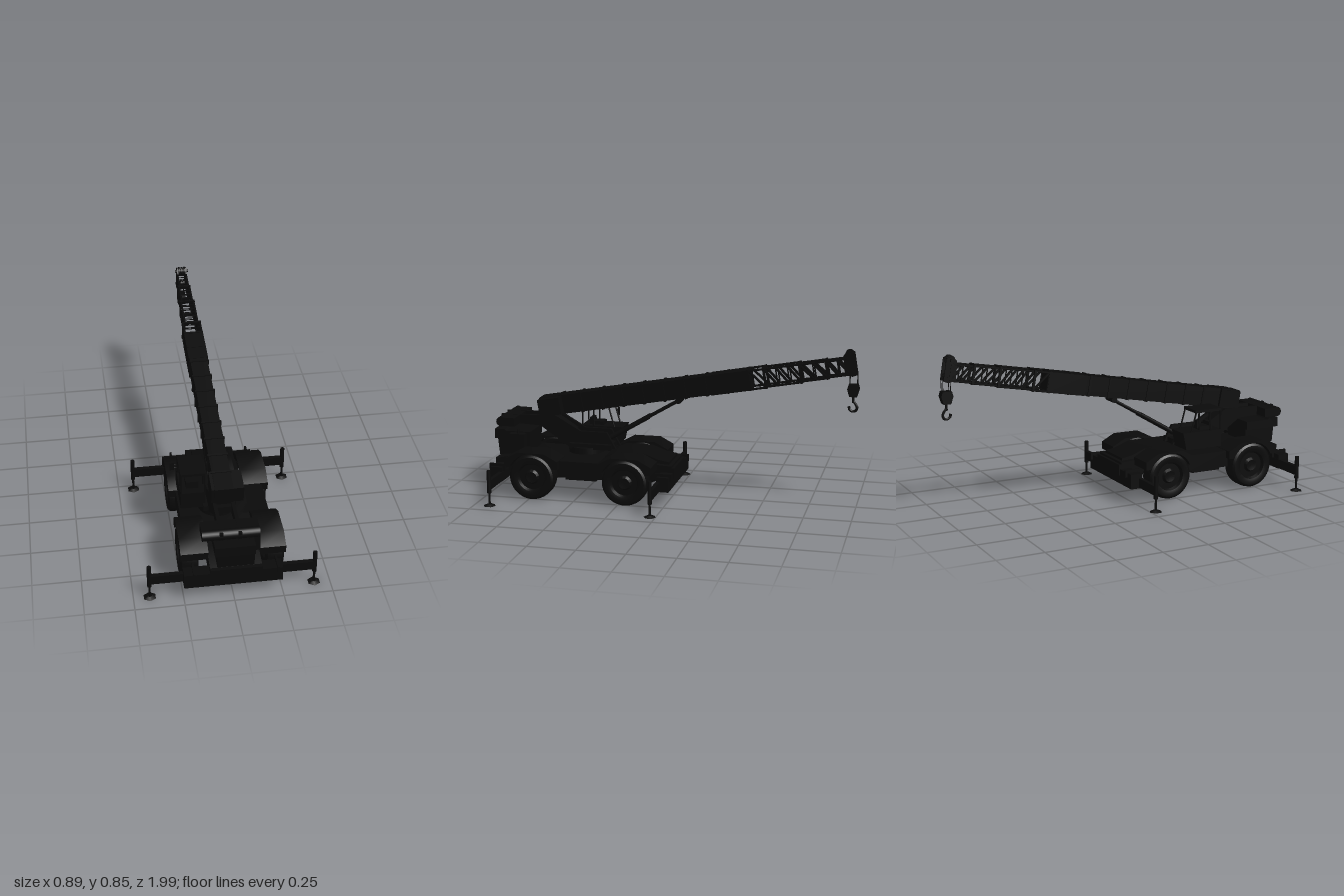
import * as THREE from 'three';
import { toCreasedNormals } from 'three/addons/utils/BufferGeometryUtils.js';

const paint = new THREE.MeshStandardMaterial({ color: 0x0a0a0a, side: THREE.DoubleSide });
const CX = 0.01;   // chassis centre line
const BX = -0.02;  // boom centre line

function add(parent, name, geo) {
  const m = new THREE.Mesh(geo, paint);
  m.name = name;
  parent.add(m);
  return m;
}

// Box given by its limits on each axis
function box(parent, name, x0, x1, y0, y1, z0, z1) {
  const m = add(parent, name, new THREE.BoxGeometry(x1 - x0, y1 - y0, z1 - z0));
  m.position.set((x0 + x1) / 2, (y0 + y1) / 2, (z0 + z1) / 2);
  return m;
}

// Side profile of [z, y] points, extruded from x0 to x1
function profile(parent, name, pts, x0, x1) {
  const shape = pts instanceof THREE.Shape ? pts : new THREE.Shape(pts.map(p => new THREE.Vector2(...p)));
  const geo = new THREE.ExtrudeGeometry(shape, { depth: x1 - x0, bevelEnabled: false, curveSegments: 16 });
  geo.rotateY(-Math.PI / 2).translate(x1, 0, 0);
  return add(parent, name, toCreasedNormals(geo, 0.5));
}

// Round or square bar between two points
function bar(parent, name, a, b, r, sides = 8) {
  const p = new THREE.Vector3(...a), q = new THREE.Vector3(...b);
  const m = add(parent, name, new THREE.CylinderGeometry(r, r, p.distanceTo(q), sides));
  m.position.copy(p).add(q).multiplyScalar(0.5);
  m.quaternion.setFromUnitVectors(new THREE.Vector3(0, 1, 0), q.sub(p).normalize());
  return m;
}

function disc(parent, name, x, y, z, r, width, sides = 20) {
  return bar(parent, name, [x - width / 2, y, z], [x + width / 2, y, z], r, sides);
}

function buildChassis(g) {
  profile(g, 'chassisFrame', [[-0.02, 0.12], [0.3, 0.13], [0.62, 0.13], [0.96, 0.12], [0.96, 0.19],
    [0.83, 0.22], [0.34, 0.22], [-0.02, 0.2]], CX - 0.13, CX + 0.13);
  box(g, 'deck', CX - 0.23, CX + 0.23, 0.13, 0.22, 0.34, 0.59);
  box(g, 'bellyTank', CX - 0.2, CX + 0.2, 0.11, 0.14, 0.38, 0.555);
  profile(g, 'frontHood', [[-0.0, 0.18], [0.36, 0.18], [0.36, 0.225], [0.29, 0.255], [0.14, 0.255], [0.06, 0.225], [0, 0.215]],
    CX - 0.1, CX + 0.1);

  // Wheels, axles and fenders
  const tyre = [[0.035, 0], [0.04, 0.03], [0.025, 0.04], [0.025, 0.07], [0.043, 0.078], [0.0475, 0.095],
    [0.0465, 0.112], [0.038, 0.123], [0.02, 0.126]];
  const section = [...tyre, ...tyre.slice().reverse().map(([w, r]) => [-w, r])];
  const wheelGeo = toCreasedNormals(new THREE.LatheGeometry(section.map(([w, r]) => new THREE.Vector2(r, w)), 36), 0.6);
  wheelGeo.rotateZ(Math.PI / 2);
  for (const z of [0.21, 0.73]) {
    disc(g, 'axle', CX, 0.126, z, 0.03, 0.36, 12);
    const diff = add(g, 'differential', new THREE.SphereGeometry(0.05, 14, 10));
    diff.position.set(CX, 0.126, z);
    const arch = new THREE.Shape();
    arch.moveTo(z + 0.15, 0.18).lineTo(z + 0.15, 0.222).lineTo(z + 0.075, 0.262)
      .lineTo(z - 0.075, 0.262).lineTo(z - 0.15, 0.222).lineTo(z - 0.15, 0.18);
    arch.absarc(z, 0.126, 0.131, 2.72, 0.42, true);
    for (const s of [-1, 1]) {
      add(g, 'wheel', wheelGeo).position.set(CX + s * 0.2175, 0.126, z);
      const x = CX + s * 0.196;
      profile(g, 'fender', arch, x - 0.07, x + 0.07);
    }
  }

  // Outriggers at both ends
  for (const [z, out] of [[0.915, 1], [0.03, -1]]) {
    const zo = z + out * 0.025;
    box(g, 'outriggerHousing', -0.25, 0.245, 0.085, 0.165, zo - 0.033, zo + 0.033);
    box(g, 'bumper', CX - 0.13, CX + 0.13, 0.13, 0.19, zo - 0.04, zo + 0.04);
    for (const s of [-1, 1]) {
      const x = s * 0.418, in0 = s * 0.1;
      box(g, 'outriggerBeam', Math.min(x, in0), Math.max(x, in0), 0.09, 0.14, z - 0.011, z + 0.011);
      bar(g, 'jackTube', [x, 0.07, z], [x, 0.195, z], 0.0115, 12);
      bar(g, 'jackRod', [x, 0.005, z], [x, 0.08, z], 0.006, 10);
      const pad = add(g, 'jackPad', new THREE.CylinderGeometry(0.014, 0.034, 0.01, 6));
      pad.position.set(x, 0.005, z);
      box(g, 'lampBracket', CX + s * 0.21 - 0.005, CX + s * 0.21 + 0.005, 0.14, 0.18, zo - 0.045, zo + 0.045);
    }
  }
}

function buildUpper(g) {
  bar(g, 'turntable', [BX, 0.21, 0.5], [BX, 0.255, 0.5], 0.1, 32);
  const side = [[0.98, 0.415], [0.66, 0.42], [0.52, 0.34], [0.37, 0.34], [0.32, 0.25], [0.59, 0.25], [0.75, 0.36], [0.97, 0.37]];
  for (const s of [-1, 1]) profile(g, 'turretPlate', side, BX + s * 0.046 - 0.009, BX + s * 0.046 + 0.009);
  box(g, 'turretFloor', -0.1, 0.06, 0.245, 0.275, 0.34, 0.58);
  profile(g, 'turretCore', [[0.76, 0.37], [0.76, 0.405], [0.66, 0.405], [0.56, 0.34], [0.54, 0.26], [0.6, 0.26]], BX - 0.04, BX + 0.04);
  disc(g, 'winchDrum', BX + 0.0025, 0.392, 0.95, 0.027, 0.285, 24);
  box(g, 'winchHousing', -0.16, 0.125, 0.368, 0.415, 0.87, 0.95);

  // Engine cover with exhaust
  profile(g, 'engineCover', [[0.97, 0.2], [0.98, 0.3], [0.79, 0.3], [0.79, 0.215]], -0.085, 0.1);
  profile(g, 'engineCoverTop', [[0.997, 0.29], [0.997, 0.343], [0.94, 0.343], [0.93, 0.335], [0.79, 0.335], [0.79, 0.29]], -0.1, 0.1);
  box(g, 'exhaustBox', 0.1, 0.14, 0.23, 0.33, 0.81, 0.9);
  bar(g, 'exhaustPipe', [0.121, 0.32, 0.85], [0.121, 0.352, 0.85], 0.005, 10);

  // Operator cab with open windows
  const x0 = -0.213, x1 = -0.085;
  profile(g, 'cabBase', [[0.55, 0.25], [0.55, 0.345], [0.31, 0.345], [0.33, 0.25]], x0, x1);
  box(g, 'cabRoof', x0, x1, 0.45, 0.465, 0.385, 0.55);
  box(g, 'cabSeat', -0.18, -0.115, 0.345, 0.365, 0.43, 0.5);
  box(g, 'seatBack', -0.18, -0.115, 0.345, 0.385, 0.49, 0.51);
  for (const x of [x0 + 0.004, x1 - 0.004]) {
    bar(g, 'frontPillar', [x, 0.34, 0.36], [x, 0.455, 0.392], 0.0045);
    bar(g, 'middlePillar', [x, 0.34, 0.48], [x, 0.455, 0.48], 0.0045);
    bar(g, 'rearPillar', [x, 0.34, 0.545], [x, 0.455, 0.545], 0.0045);
  }
  box(g, 'mirror', -0.25, -0.227, 0.375, 0.42, 0.372, 0.382);
  for (const y of [0.388, 0.408]) bar(g, 'mirrorArm', [-0.23, y, 0.377], [x0, y, 0.377], 0.0015, 6);

  // Luffing cylinders
  for (const x of [BX - 0.022, BX + 0.022]) {
    bar(g, 'luffRod', [x, 0.28, 0.4], [x, 0.54, -0.04], 0.008, 12);
    bar(g, 'luffBarrel', [x, 0.3, 0.365], [x, 0.435, 0.138], 0.012, 12);
  }
  disc(g, 'luffPin', BX, 0.535, -0.03, 0.016, 0.08, 14);
}

// Open section with chords, rungs and diagonals; it runs along -z from l0 to l1
function lattice(parent, l0, l1, w, h) {
  const n = Math.max(1, Math.round((l1 - l0) / 0.075));
  const at = i => -(l0 + (l1 - l0) * i / n);
  for (const sx of [-1, 1]) for (const sy of [-1, 1])
    bar(parent, 'chord', [sx * w, sy * h, -l0], [sx * w, sy * h, -l1], 0.006, 4);
  for (let i = 0; i <= n; i++) {
    for (const s of [-1, 1]) {
      bar(parent, 'rung', [-w, s * h, at(i)], [w, s * h, at(i)], 0.004, 4);
      bar(parent, 'post', [s * w, -h, at(i)], [s * w, h, at(i)], 0.004, 4);
      if (i < n) bar(parent, 'diagonal', [s * w, h, at(i)], [s * w, -h, at(i + 1)], 0.007, 4);
    }
    if (i < n) for (const s of [-1, 1])
      bar(parent, 'crossRung', [-w, s * h, (at(i) + at(i + 1)) / 2], [w, s * h, (at(i) + at(i + 1)) / 2], 0.003, 4);
  }
}

function buildBoom(g) {
  const b = new THREE.Group();
  b.name = 'boom';
  b.position.set(BX, 0.462, 0.75);
  b.rotation.x = 0.176;
  g.add(b);
  box(b, 'baseSection', -0.047, 0.047, -0.053, 0.053, -1.19, 0);
  box(b, 'boomFoot', -0.063, 0.1, -0.045, 0.05, -0.13, -0.005);
  for (let l = 0.12; l < 1.2; l += 0.118) box(b, 'collar', -0.053, 0.053, -0.057, 0.057, -l - 0.006, -l + 0.006);
  box(b, 'outerSleeve', -0.053, 0.053, -0.055, 0.055, -1.19, -0.97);

  // Telescoped sections, each slimmer than the last, with a collar at its tip
  const steps = [[1.19, 1.27, 0.047, 0.05], [1.27, 1.46, 0.036, 0.048], [1.46, 1.6, 0.03, 0.045], [1.6, 1.72, 0.025, 0.042]];
  for (const [l0, l1, w, h] of steps) {
    lattice(b, l0, l1, w, h);
    for (const s of [-1, 1]) {
      box(b, 'tipCollar', -w - 0.007, w + 0.007, s * h - 0.007, s * h + 0.007, -l1 - 0.006, -l1 + 0.006);
      box(b, 'tipCollarSide', s * w - 0.006, s * w + 0.006, -h, h, -l1 - 0.006, -l1 + 0.006);
    }
  }
}

function buildHead(g) {
  const plate = [[-0.91, 0.82], [-0.935, 0.845], [-0.965, 0.835], [-0.985, 0.72], [-0.96, 0.71], [-0.92, 0.72]];
  for (const s of [-1, 1]) profile(g, 'headPlate', plate, BX + s * 0.024 - 0.004, BX + s * 0.024 + 0.004);
  for (const x of [-0.014, 0, 0.014]) {
    disc(g, 'topSheave', BX + x, 0.825, -0.94, 0.024, 0.008);
    disc(g, 'lowerSheave', BX + x, 0.735, -0.96, 0.022, 0.008);
  }
  disc(g, 'sheavePin', BX, 0.825, -0.94, 0.008, 0.075, 12);
  disc(g, 'lowerPin', BX, 0.735, -0.96, 0.008, 0.065, 12);
  for (const x of [-0.014, 0.014]) for (const z of [-0.985, -0.945])
    bar(g, 'hoistRope', [BX + x, 0.735, z], [BX + x, 0.64, z], 0.0018, 6);

  // Hook block
  profile(g, 'hookBlock', [[-0.94, 0.665], [-0.99, 0.665], [-0.997, 0.64], [-0.985, 0.6], [-0.945, 0.6], [-0.933, 0.64]], BX - 0.022, BX + 0.022);
  bar(g, 'hookShank', [BX, 0.61, -0.965], [BX, 0.565, -0.965], 0.007, 10);
  const curve = new THREE.CatmullRomCurve3([[-0.965, 0.575], [-0.977, 0.56], [-0.986, 0.54], [-0.977, 0.522],
    [-0.96, 0.52], [-0.946, 0.531], [-0.944, 0.545]].map(([z, y]) => new THREE.Vector3(BX, y, z)));
  add(g, 'hook', new THREE.TubeGeometry(curve, 24, 0.007, 8));
}

export function createModel() {
  const g = new THREE.Group();
  g.name = 'mobileCrane';
  for (const [name, build] of [['carrier', buildChassis], ['upperWorks', buildUpper], ['boomAssembly', buildBoom], ['boomHead', buildHead]]) {
    const part = new THREE.Group();
    part.name = name;
    build(part);
    g.add(part);
  }
  return g;
}
